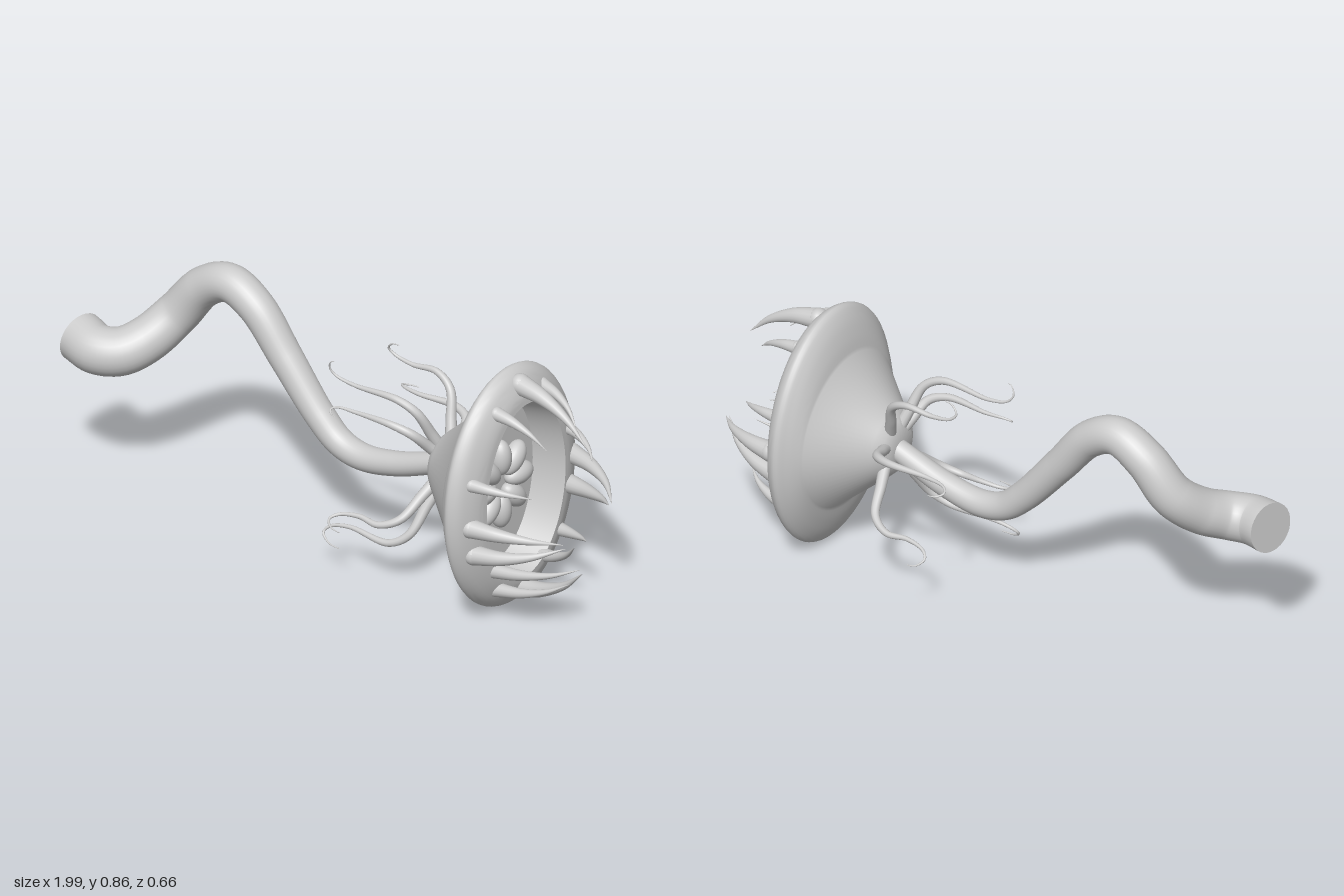
import * as THREE from 'three';
import { toCreasedNormals } from 'three/addons/utils/BufferGeometryUtils.js';

const MID = 0.43; // height of the bell axis
const material = new THREE.MeshStandardMaterial({ color: 0xcccccc, side: THREE.DoubleSide });
const v3 = (p) => new THREE.Vector3(...p);

function addMesh(parent, name, geometry) {
  const mesh = new THREE.Mesh(geometry, material);
  mesh.name = name;
  parent.add(mesh);
  return mesh;
}

// Tube along a smooth path whose radius follows radiusAt(t)
function taperedTube(points, radiusAt, steps, sides) {
  const curve = new THREE.CatmullRomCurve3(points.map(v3), false, 'centripetal');
  const geometry = new THREE.TubeGeometry(curve, steps, 1, sides);
  const pos = geometry.attributes.position;
  const v = new THREE.Vector3();
  for (let i = 0; i <= steps; i++) {
    const c = curve.getPointAt(i / steps);
    for (let j = 0; j <= sides; j++) {
      const k = i * (sides + 1) + j;
      v.fromBufferAttribute(pos, k).sub(c).multiplyScalar(radiusAt(i / steps)).add(c);
      pos.setXYZ(k, v.x, v.y, v.z);
    }
  }
  return { geometry, curve };
}

// Bell: round cone at the back, flaring to an oval lipped mouth
function bellGeometry() {
  // each ring is [x, vertical radius, sideways radius]
  const lip = new THREE.CatmullRomCurve3([
    [0.567, 0.272, 0.262], [0.58, 0.33, 0.278], [0.605, 0.395, 0.305], [0.635, 0.43, 0.33],
    [0.667, 0.414, 0.315], [0.692, 0.378, 0.278], [0.706, 0.345, 0.24], [0.71, 0.315, 0.21],
  ].map(v3)).getPoints(28);
  const rings = [
    ...[[0.36, 0, 0], [0.36, 0.065, 0.065], [0.375, 0.095, 0.09], [0.4, 0.12, 0.115]].map(v3),
    ...lip,
    ...[[0.59, 0.293, 0.192], [0.59, 0, 0]].map(v3),
  ];
  const geometry = new THREE.LatheGeometry(rings.map((r) => new THREE.Vector2(r.y, r.x)), 64);
  const pos = geometry.attributes.position;
  for (let i = 0; i < pos.count; i++) {
    const r = rings[i % rings.length];
    const squash = r.y > 0 ? r.z / r.y : 1;
    pos.setXYZ(i, pos.getY(i), MID - pos.getX(i), pos.getZ(i) * squash);
  }
  return toCreasedNormals(geometry, 0.7);
}

export function createModel() {
  const model = new THREE.Group();
  model.name = 'tentacleFlower';

  // Winding stem, thick at the cut end
  const stem = taperedTube([
    [-0.975, 0.52, 0.175], [-0.89, 0.51, 0.195], [-0.815, 0.515, 0.165], [-0.76, 0.55, 0.095],
    [-0.7, 0.63, 0.015], [-0.61, 0.745, -0.008], [-0.5, 0.795, -0.005], [-0.39, 0.745, 0],
    [-0.27, 0.6, 0], [-0.13, 0.43, 0], [-0.05, 0.36, 0], [0.04, 0.335, 0], [0.18, 0.355, 0],
    [0.38, 0.425, 0],
  ], (t) => (t < 0.4 ? 0.086 - 0.055 * t : 0.064 - 0.046 * (t - 0.4)), 120, 28);
  addMesh(model, 'stem', stem.geometry);
  const cap = addMesh(model, 'stemEnd', new THREE.CircleGeometry(0.086, 28));
  const start = stem.curve.getPointAt(0);
  cap.position.copy(start);
  cap.lookAt(start.clone().sub(stem.curve.getTangentAt(0)));

  addMesh(model, 'bell', bellGeometry());

  // Ring of eight bulbs on the floor of the mouth
  const bulbs = new THREE.Group();
  bulbs.name = 'innerBulbs';
  model.add(bulbs);
  for (let i = 0; i < 8; i++) {
    const a = (i * Math.PI) / 4;
    const bulb = addMesh(bulbs, 'bulb', new THREE.SphereGeometry(1, 24, 16));
    bulb.scale.set(0.038, 0.063, 0.037);
    bulb.position.set(0.605, 0.42 + 0.096 * Math.cos(a), 0.096 * Math.sin(a));
    bulb.rotation.x = a;
  }

  // Curved teeth on the lip: base y, base z, tip x, tip y, tip z, radius
  const teeth = new THREE.Group();
  teeth.name = 'teeth';
  model.add(teeth);
  const toothData = [
    [0.812, 0, 0.955, 0.665, 0, 0.036], [0.758, 0.128, 0.865, 0.665, 0.095, 0.024],
    [0.762, -0.118, 0.865, 0.675, -0.065, 0.023], [0.55, 0.26, 0.865, 0.515, 0.165, 0.023],
    [0.557, -0.238, 0.865, 0.51, -0.155, 0.022], [0.395, 0.267, 0.955, 0.36, 0.125, 0.033],
    [0.443, -0.273, 0.96, 0.405, -0.13, 0.034], [0.345, -0.247, 0.955, 0.403, -0.12, 0.034],
    [0.29, 0.25, 0.955, 0.34, 0.11, 0.034], [0.197, 0.16, 0.995, 0.265, 0.085, 0.027],
    [0.112, 0.13, 0.95, 0.195, 0.08, 0.025], [0.07, 0.008, 0.955, 0.21, 0.02, 0.036],
    [0.137, -0.113, 0.865, 0.245, -0.055, 0.025], [0.2, -0.195, 0.865, 0.24, -0.12, 0.025],
  ];
  for (const [by, bz, tx, ty, tz, r] of toothData) {
    const bx = 0.685;
    const at = (f, g) => [bx + (tx - bx) * f, by + (ty - by) * g, bz + (tz - bz) * g];
    const path = [at(0, 0), at(0.35, 0.15), at(0.7, 0.48), at(1, 1)];
    addMesh(teeth, 'tooth', taperedTube(path, (t) => r * (1 - 0.985 * t), 20, 16).geometry);
    addMesh(teeth, 'toothRoot', new THREE.SphereGeometry(r, 16, 12)).position.set(bx, by, bz);
  }

  // Thin tentacles sweeping back from the neck and curling at the tips
  const tentacles = new THREE.Group();
  tentacles.name = 'tentacles';
  model.add(tentacles);
  const tentacleData = [
    // [y, z] where it runs level, x of the curl, [x, y, z] offset to the curled tip
    [0.665, 0.11, 0.0, [0.025, 0.07, 0.02]],
    [0.68, -0.1, 0.08, [0.05, 0.06, 0.02]],
    [0.585, 0.14, 0.03, [0.03, -0.025, 0.03]],
    [0.51, -0.2, 0.03, [0.045, -0.02, -0.06]],
    [0.25, -0.215, 0.1, [0.05, -0.05, -0.055]],
    [0.25, 0.215, 0.1, [0.07, -0.03, 0.075]],
    [0.16, 0.16, 0.02, [0.08, -0.06, 0.04]],
  ];
  for (const [y, z, x, [dx, dy, dz]] of tentacleData) {
    const mix = (px, f) => [px, MID + (y - MID) * f, z * f];
    const path = [
      mix(0.385, 0.25), mix(0.365, 0.5), mix(0.335, 0.85), mix(0.27, 1), mix(x + 0.09, 0.98),
      [x + 0.02, y + dy * 0.15, z + dz * 0.15], [x, y + dy * 0.5, z + dz * 0.5],
      [x + dx * 0.4, y + dy * 0.9, z + dz * 0.9], [x + dx, y + dy, z + dz],
    ];
    addMesh(tentacles, 'tentacle', taperedTube(path, (t) => 0.021 - 0.0195 * t, 48, 12).geometry);
  }
  return model;
}
